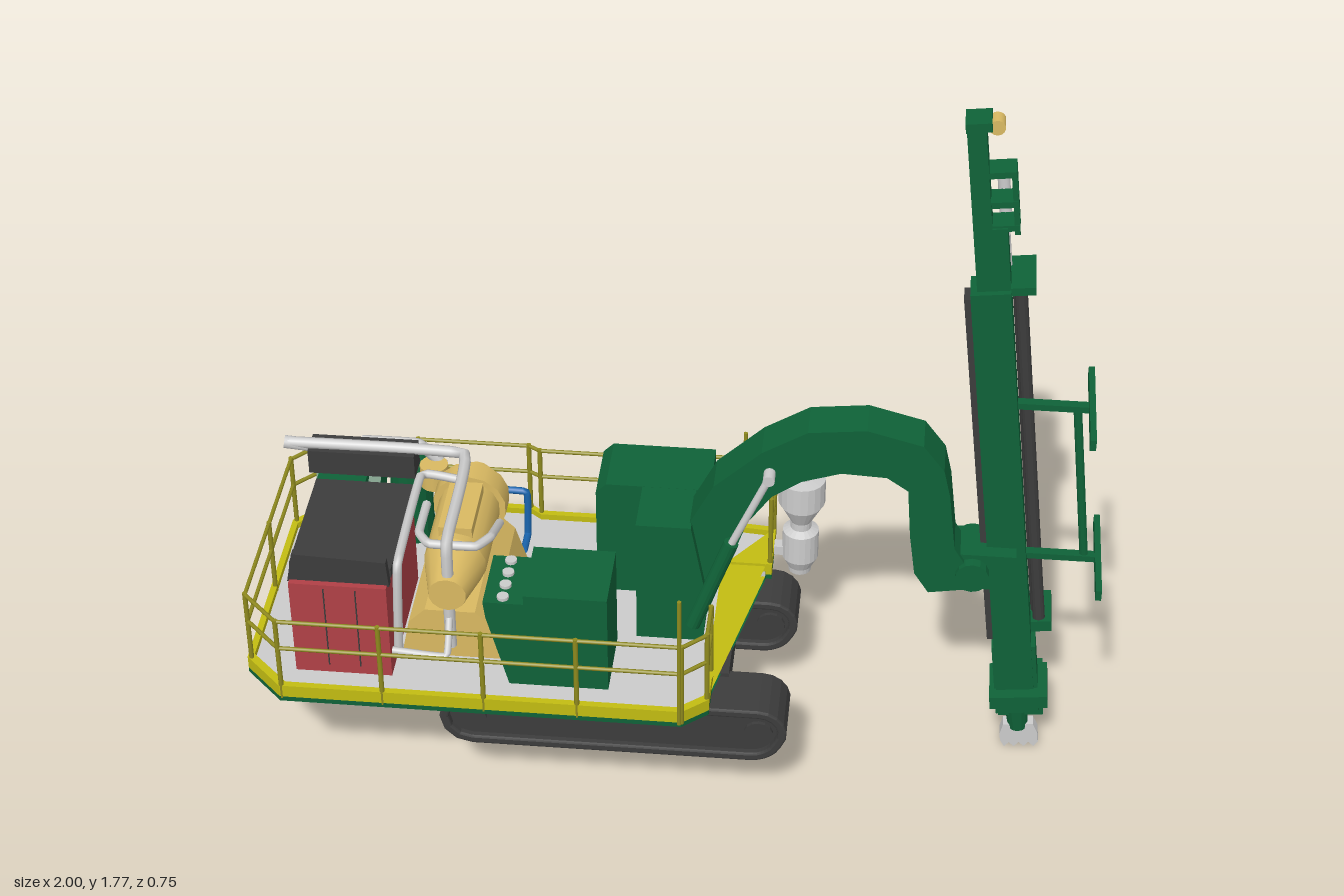
import * as THREE from 'three';

const mat = (color) => new THREE.MeshStandardMaterial({ color, side: THREE.DoubleSide });
const flat = (color) => { const m = mat(color); m.flatShading = true; return m; };
const V = (p) => new THREE.Vector3(...p);

export function createModel() {
  const root = new THREE.Group();
  const green = flat(0x0f6238), yellow = flat(0xc2bc12), railMat = mat(0x8f8a1e), gold = mat(0xd9b962);
  const red = flat(0xb04046), dark = flat(0x3c3c3c), grey = mat(0xcccccc), blue = mat(0x1a66b0);

  const add = (name, geo, m, parent = root) => {
    const mesh = new THREE.Mesh(geo, m);
    mesh.name = name;
    parent.add(mesh);
    return mesh;
  };
  // box given by its minimum and maximum corners
  const box = (name, m, x0, x1, y0, y1, z0, z1, parent) => {
    const b = add(name, new THREE.BoxGeometry(x1 - x0, y1 - y0, z1 - z0), m, parent);
    b.position.set((x0 + x1) / 2, (y0 + y1) / 2, (z0 + z1) / 2);
    return b;
  };
  // round bar between two points
  const rod = (name, m, a, b, r0, r1 = r0, parent = root, sides = 14) => {
    const p = V(a), q = V(b), d = q.clone().sub(p);
    const c = add(name, new THREE.CylinderGeometry(r1, r0, d.length(), sides), m, parent);
    c.position.copy(p).add(q).multiplyScalar(0.5);
    c.quaternion.setFromUnitVectors(new THREE.Vector3(0, 1, 0), d.normalize());
    return c;
  };
  // bent pipe with nearly sharp elbows
  const pipe = (name, m, r, pts) => add(name, new THREE.TubeGeometry(
    new THREE.CatmullRomCurve3(pts.map(V), false, 'catmullrom', 0.12), pts.length * 8, r, 8), m);
  const shape = (pts) => new THREE.Shape(pts.map((p) => new THREE.Vector2(...p)));
  // side profile extruded from z0 to z1
  const slab = (name, m, outline, z0, z1, parent, hole, bevel = 0) => {
    const s = shape(outline);
    if (hole) s.holes.push(shape(hole));
    const geo = new THREE.ExtrudeGeometry(s, { depth: z1 - z0 - 2 * bevel, bevelEnabled: bevel > 0,
      bevelThickness: bevel, bevelSize: bevel, bevelOffset: -bevel, bevelSegments: 2 });
    geo.translate(0, 0, z0 + bevel);
    return add(name, geo, m, parent);
  };

  // deck: plate, yellow toe board and green skirt
  const deck = [[-1, 0.27], [-0.905, 0.365], [0.045, 0.365], [0.105, 0.315], [0.105, -0.2], [0.215, -0.2],
    [0.215, -0.35], [0.105, -0.36], [0.095, -0.38], [-0.035, -0.38], [-0.06, -0.36], [-0.38, -0.36],
    [-0.405, -0.38], [-0.7, -0.38], [-0.73, -0.355], [-0.91, -0.35], [-1, -0.26]];
  const inset = deck.map(([x, z]) => [(x + 0.4) * 0.975 - 0.4, z * 0.955]);
  const layer = (name, m, y0, y1, outer, hole) => {
    const l = slab(name, m, outer, 0, y1 - y0, root, hole);
    l.rotation.x = Math.PI / 2;
    l.position.y = y1;
  };
  layer('deckPlate', grey, 0.345, 0.362, inset);
  layer('toeBoard', yellow, 0.345, 0.378, deck, inset);
  layer('deckSkirt', green, 0.332, 0.345, deck, inset);
  box('underTank', dark, -0.85, -0.67, 0.285, 0.345, -0.22, 0.22);
  box('deckUnderframe', dark, -0.66, 0.08, 0.325, 0.345, -0.25, 0.26);

  // railing: posts and two rails along both sides and the rear end
  const railing = (pts) => pts.forEach(([x, z], i) => {
    rod('railPost', railMat, [x, 0.34, z], [x, 0.575, z], 0.006, 0.006, root, 8);
    if (i) for (const y of [0.49, 0.57]) {
      rod('rail', railMat, [pts[i - 1][0], y, pts[i - 1][1]], [x, y, z], 0.005, 0.005, root, 8);
    }
  });
  railing([[0.1, 0.21], [0.1, 0.31], [0.045, 0.36], [-0.2, 0.36], [-0.42, 0.36], [-0.66, 0.36], [-0.9, 0.36],
    [-0.99, 0.27], [-0.99, 0], [-0.99, -0.26], [-0.91, -0.345], [-0.73, -0.35], [-0.69, -0.373], [-0.41, -0.373],
    [-0.38, -0.355], [-0.06, -0.355], [-0.03, -0.373], [0.095, -0.373], [0.13, -0.345], [0.21, -0.345], [0.21, -0.21]]);
  rod('tallPost', railMat, [0.04, 0.34, 0.365], [0.04, 0.71, 0.365], 0.005);
  rod('tallPost', railMat, [0.135, 0.34, -0.345], [0.135, 0.67, -0.345], 0.005);

  // crawler tracks and the frame between them
  const track = (k) => {
    const pts = [], cap = (cx, cy, r, a0, a1) => {
      for (let i = 0; i <= 6; i++) {
        const a = a0 + (a1 - a0) * i / 6;
        pts.push([cx + (r - k) * Math.cos(a), cy + (r - k) * Math.sin(a)]);
      }
    };
    cap(-0.465, 0.246, 0.078, Math.PI / 2, Math.PI * 1.5);
    cap(0.2, 0.255, 0.085, -Math.PI / 2, -0.7);
    cap(0.22, 0.257, 0.068, -0.6, Math.PI / 2);
    return pts;
  };
  for (const [z0, z1] of [[0.145, 0.29], [-0.25, -0.112]]) {
    slab('trackBelt', dark, track(0), z0, z1, root, track(0.022), 0.005);
    slab('trackFrame', dark, track(0.024), z0 + 0.015, z1 - 0.015);
    for (const x of [-0.465, 0.22]) rod('trackWheel', dark, [x, 0.25, z0 + 0.006], [x, 0.25, z1 - 0.006], 0.035);
  }
  box('carBody', dark, -0.38, 0.14, 0.25, 0.335, -0.14, 0.17);

  // radiator housing with dark roof and front baffle
  box('radiatorHousing', red, -0.88, -0.65, 0.362, 0.625, -0.08, 0.285);
  box('radiatorRoof', dark, -0.885, -0.645, 0.625, 0.65, -0.085, 0.24);
  slab('roofBaffle', dark, [[-0.885, 0.62], [-0.645, 0.62], [-0.65, 0.69], [-0.87, 0.7]], 0.25, 0.27);
  for (const x of [-0.8, -0.725]) box('panelSeam', dark, x, x + 0.003, 0.385, 0.615, 0.285, 0.287);

  // engine and compressor
  slab('enginePlinth', gold, [[-0.64, 0.362], [-0.39, 0.362], [-0.42, 0.46], [-0.46, 0.5], [-0.58, 0.5], [-0.62, 0.46]], -0.18, 0.2);
  rod('engineBody', gold, [-0.52, 0.565, -0.12], [-0.52, 0.565, 0.1], 0.075);
  rod('engineNose', gold, [-0.52, 0.565, 0.1], [-0.52, 0.565, 0.22], 0.075, 0.045);
  rod('flywheelHousing', gold, [-0.52, 0.565, -0.18], [-0.52, 0.565, -0.12], 0.09);
  rod('engineShaft', gold, [-0.52, 0.565, -0.25], [-0.52, 0.565, -0.18], 0.04);
  box('engineHead', gold, -0.56, -0.48, 0.6, 0.655, -0.1, 0.08);
  rod('turbo', gold, [-0.62, 0.56, -0.21], [-0.62, 0.62, -0.21], 0.035);
  pipe('coolantPipe', blue, 0.009, [[-0.53, 0.52, -0.2], [-0.53, 0.52, -0.25], [-0.4, 0.52, -0.25], [-0.4, 0.39, -0.25], [-0.4, 0.39, -0.18]]);
  pipe('exhaustPipe', grey, 0.014, [[-0.52, 0.4, 0.205], [-0.52, 0.7, 0.19], [-0.53, 0.71, -0.14], [-0.96, 0.715, -0.14]]);
  pipe('hosePipe', grey, 0.011, [[-0.64, 0.4, 0.24], [-0.63, 0.66, 0.23], [-0.63, 0.67, -0.1], [-0.53, 0.66, -0.1]]);
  pipe('intakePipe', grey, 0.011, [[-0.6, 0.66, 0.0], [-0.6, 0.66, 0.11], [-0.57, 0.66, 0.15], [-0.46, 0.66, 0.15], [-0.43, 0.66, 0.11], [-0.43, 0.6, -0.02]]);
  pipe('drainPipe', grey, 0.009, [[-0.65, 0.42, 0.26], [-0.52, 0.42, 0.27], [-0.52, 0.5, 0.2]]);
  pipe('stackPipe', grey, 0.014, [[-0.6, 0.6, -0.235], [-0.66, 0.66, -0.235], [-0.8, 0.66, -0.235]]);
  box('muffler', dark, -0.91, -0.65, 0.64, 0.705, -0.19, -0.12);
  rod('tailPipe', grey, [-0.97, 0.715, -0.14], [-0.89, 0.7, -0.15], 0.016);

  // green tank and pump group at the rear
  box('pumpBlock', green, -0.9, -0.78, 0.42, 0.6, -0.285, -0.09);
  box('pumpStand', green, -0.87, -0.81, 0.362, 0.42, -0.26, -0.12);
  rod('receiverTank', green, [-0.69, 0.362, -0.265], [-0.69, 0.57, -0.265], 0.052);
  add('tankDome', new THREE.SphereGeometry(0.052, 16, 8), mat(0x0f6238)).position.set(-0.69, 0.57, -0.265);
  rod('filterCan', green, [-0.91, 0.55, -0.22], [-0.75, 0.55, -0.22], 0.045);

  // control cabinet with sloping console, and the rear cabinet
  box('controlCabinet', green, -0.33, -0.135, 0.362, 0.63, 0.1, 0.285);
  slab('console', green, [[-0.37, 0.362], [-0.33, 0.362], [-0.33, 0.605], [-0.425, 0.605], [-0.42, 0.56]], 0.11, 0.285);
  for (let i = 0; i < 4; i++) rod('gauge', grey, [-0.38, 0.6, 0.13 + i * 0.045], [-0.38, 0.613, 0.13 + i * 0.045], 0.014);
  slab('rearCabinet', green, [[-0.205, 0.362], [0.07, 0.362], [0.07, 0.685], [-0.18, 0.685], [-0.205, 0.66]], -0.25, -0.085);

  // boom pedestal, curved boom and lift cylinders
  slab('boomPedestal', green, [[-0.09, 0.362], [0.07, 0.362], [0.08, 0.48], [0.04, 0.7], [-0.09, 0.7]], -0.065, 0.085);
  slab('boom', green, [[0, 0.38], [0.065, 0.39], [0.17, 0.71], [0.225, 0.79], [0.295, 0.84], [0.385, 0.87], [0.49, 0.865],
    [0.54, 0.83], [0.55, 0.7], [0.565, 0.59], [0.6, 0.535], [0.685, 0.55], [0.685, 0.62], [0.655, 0.67], [0.637, 0.82],
    [0.62, 0.893], [0.57, 0.96], [0.44, 0.995], [0.305, 0.98], [0.2, 0.915], [0.09, 0.81], [0.03, 0.69]], -0.04, 0.062);
  for (const z of [-0.062, 0.084]) {
    rod('liftBarrel', green, [0.045, 0.41, z], [0.135, 0.665, z], 0.018);
    rod('liftRod', grey, [0.13, 0.65, z], [0.22, 0.86, z], 0.009);
  }
  rod('liftPin', grey, [0.22, 0.86, -0.075], [0.22, 0.86, 0.097], 0.014);
  box('mastMount', green, 0.66, 0.8, 0.545, 0.645, -0.06, 0.05);
  rod('mastPivot', green, [0.7, 0.595, -0.085], [0.7, 0.595, 0.075], 0.04);

  // leaning mast, modelled upright along its own axis
  const mast = new THREE.Group();
  mast.name = 'mast';
  mast.position.set(0.85, 0, 0);
  mast.rotation.z = 0.114;
  root.add(mast);
  box('mainBeam', green, -0.045, 0.045, 0.17, 1.36, -0.065, 0.015, mast);
  box('slideRail', dark, -0.06, -0.045, 0.36, 1.34, -0.05, 0.0, mast);
  box('upperBeam', green, -0.03, 0.045, 1.3, 1.52, -0.062, 0, mast);
  box('topBeam', green, -0.03, 0.012, 1.5, 1.785, -0.062, 0, mast);
  box('topCap', green, -0.032, 0.025, 1.765, 1.787, -0.064, 0.002, mast);
  rod('sheave', gold, [0.035, 1.765, -0.055], [0.035, 1.765, -0.015], 0.018, 0.018, mast);
  for (const z of [-0.058, -0.012]) box('winchFrame', green, 0.06, 0.072, 1.5, 1.66, z - 0.005, z + 0.005, mast);
  for (const y of [1.51, 1.57, 1.645]) box('winchFrameBar', green, 0.01, 0.072, y, y + 0.015, -0.063, -0.005, mast);
  rod('feedMotor', grey, [0.04, 1.5, -0.076], [0.04, 1.61, -0.076], 0.014, 0.014, mast);
  rod('feedRod', grey, [0.04, 1.38, -0.076], [0.04, 1.5, -0.076], 0.008, 0.008, mast);
  for (const [u, z] of [[0.06, -0.082], [0.06, -0.115], [0.025, -0.115], [0.025, -0.082], [0.065, -0.05]]) {
    rod('drillPipe', dark, [u, 0.37, z], [u, 1.35, z], 0.015, 0.015, mast);
  }
  box('pipeRackTop', green, -0.02, 0.1, 1.345, 1.365, -0.135, 0.0, mast);
  box('pipeRackBase', green, -0.02, 0.095, 0.355, 0.385, -0.15, -0.03, mast);
  // drill head and cutter
  box('headCollar', green, -0.062, 0.078, 0.175, 0.21, -0.085, 0.045, mast);
  box('headBody', green, -0.05, 0.055, 0.13, 0.34, -0.06, 0.01, mast);
  box('headArm', green, -0.045, 0.065, 0.115, 0.155, -0.165, 0.0, mast);
  rod('headShaft', green, [0, 0.065, -0.02], [0, 0.14, -0.02], 0.024, 0.03, mast);
  const teeth = [[-0.035, 0.08], [-0.045, 0.05], [-0.045, 0.03]];
  for (let i = 0; i < 4; i++) teeth.push([-0.036 + i * 0.024, 0.008], [-0.024 + i * 0.024, 0.022]);
  slab('cutter', grey, [...teeth, [0.048, 0.05], [0.038, 0.08]], -0.036, -0.004, mast);

  // guide frame in front of the mast
  rod('guidePost', green, [0.912, 1.035, -0.025], [0.96, 0.61, -0.025], 0.01);
  for (const [x0, x1, y] of [[0.75, 0.945, 1.035], [0.8, 0.993, 0.605]]) {
    box('guideArm', green, x0, x1, y - 0.008, y + 0.008, -0.035, -0.012);
    box('guideBar', green, x1 - 0.007, x1 + 0.007, y - 0.014, y + 0.014, -0.168, 0.122);
  }

  // dust cyclone hanging beside the deck
  const profile = [[0, 0.3], [0.028, 0.3], [0.03, 0.315], [0.045, 0.345], [0.045, 0.425], [0.026, 0.435], [0.026, 0.455],
    [0.052, 0.505], [0.052, 0.515], [0.058, 0.515], [0.058, 0.585], [0.026, 0.59], [0.026, 0.63], [0, 0.63]];
  add('cyclone', new THREE.LatheGeometry(profile.map((p) => new THREE.Vector2(...p)), 20), flat(0xcccccc))
    .position.set(0.28, 0, -0.29);
  box('cycloneBracket', grey, 0.2, 0.26, 0.35, 0.375, -0.305, -0.275);
  return root;
}
